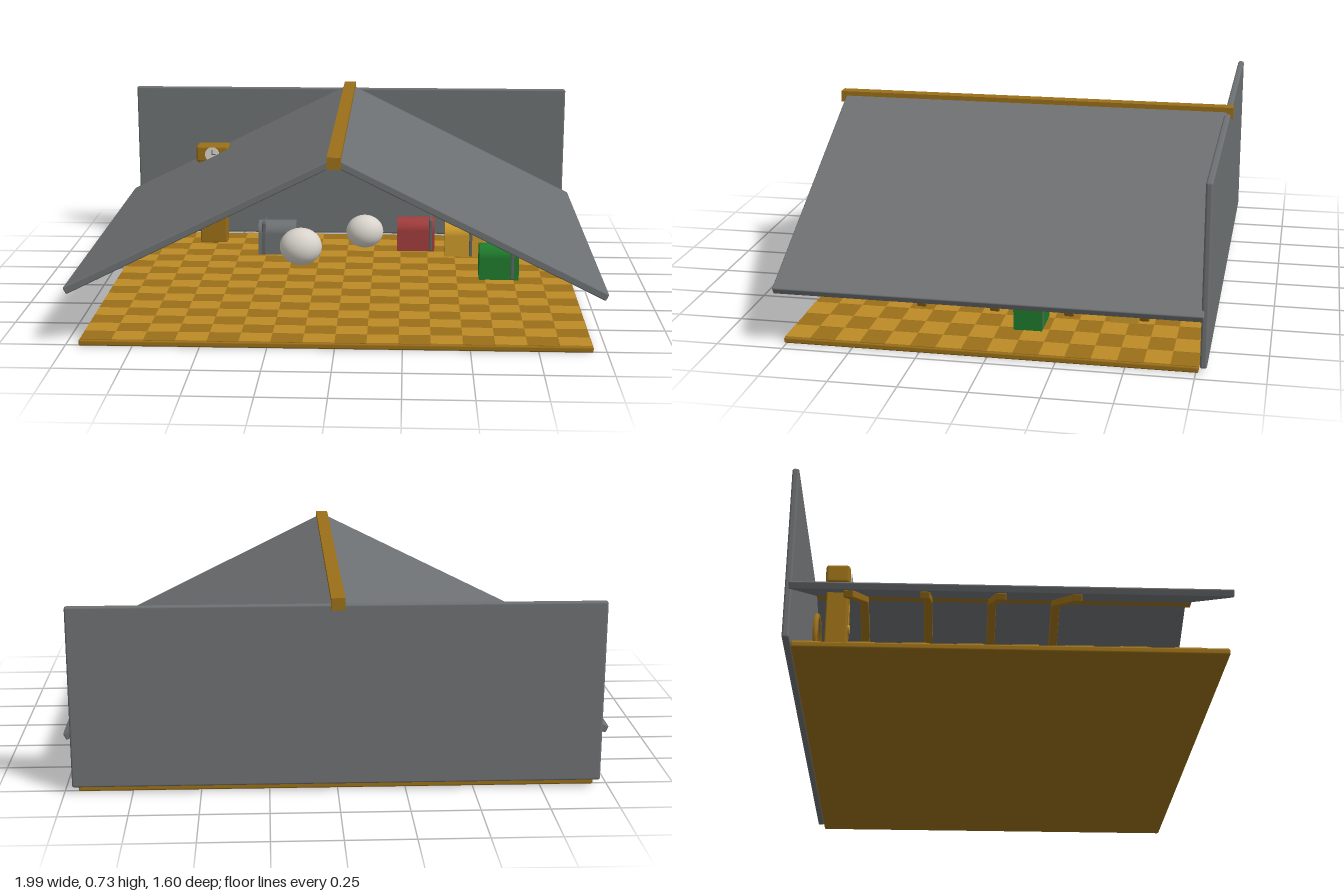
import * as THREE from 'three';
import { RoundedBoxGeometry } from 'three/addons/geometries/RoundedBoxGeometry.js';

const paint = (name, color) => {
  const m = new THREE.MeshStandardMaterial({ color });
  m.name = name;
  return m;
};

export function createModel() {
  const root = new THREE.Group();
  root.name = 'cabin';
  const wood = paint('wood', 0x9a6f18);
  const lightWood = paint('lightWood', 0xbd8b26);
  const slate = paint('slate', 0x6d7072);
  const wool = paint('offWhite', 0xd8d4cc);
  const red = paint('red', 0xa03c3c);
  const yellow = paint('yellow', 0xcb992a);
  const green = paint('green', 0x1f7a2c);
  const iron = paint('iron', 0x5f6264);

  const add = (name, geo, mat, x, y, z, parent = root) => {
    const mesh = new THREE.Mesh(geo, mat);
    mesh.name = name;
    mesh.position.set(x, y, z);
    parent.add(mesh);
    return mesh;
  };
  const box = (w, h, d) => new THREE.BoxGeometry(w, h, d);
  const rounded = (w, h, d, r) => new RoundedBoxGeometry(w, h, d, 2, r);

  // Floor slab with a chequer of two woods
  add('floorBase', rounded(1.9, 0.022, 1.52, 0.006), wood, 0, 0.014, 0);
  const n = 16, tw = 1.89 / n, td = 1.51 / n;
  const floor = new THREE.Group();
  floor.name = 'floorTiles';
  root.add(floor);
  for (let i = 0; i < n; i++) {
    for (let j = 0; j < n; j++) {
      const light = (i + j) % 2 === 0;
      add('floorTile', box(tw, light ? 0.006 : 0.004, td), light ? lightWood : wood,
        (i + 0.5) * tw - 0.945, light ? 0.026 : 0.025, (j + 0.5) * td - 0.755, floor);
    }
  }

  // Back wall
  add('backWall', rounded(1.94, 0.68, 0.025, 0.008), slate, 0, 0.369, -0.778);

  // Pitched roof, rafters and ridge
  const slope = (name, side, x, top, low, thick, depth, z, mat) => {
    const m = add(name, rounded(Math.hypot(x, top - low), thick, depth, 0.005), mat, side * x / 2, (top + low) / 2, z);
    m.rotation.z = side * Math.atan2(low - top, x);
  };
  for (const side of [-1, 1]) {
    slope('roofPanel', side, 0.99, 0.713, 0.22, 0.028, 1.555, 0.002, slate);
    for (const z of [0.23, -0.036, -0.302, -0.568]) {
      slope('rafter', side, 0.97, 0.684, 0.201, 0.028, 0.035, z, wood);
    }
  }
  add('ridgeBeam', box(0.05, 0.045, 1.6), wood, 0, 0.712, 0);

  // Round window on the back wall
  const win = new THREE.Group();
  win.name = 'roundWindow';
  win.position.set(0, 0.482, -0.757);
  root.add(win);
  add('windowFrame', new THREE.TorusGeometry(0.109, 0.012, 10, 40), wood, 0, 0, 0, win);
  add('windowPane', new THREE.CircleGeometry(0.1, 32), slate, 0, 0, -0.006, win);
  add('uprightBar', box(0.01, 0.2, 0.01), iron, 0, 0, 0, win);
  add('crossBar', box(0.2, 0.01, 0.012), wood, 0, 0, 0, win);
  add('crossBarUpper', box(0.15, 0.012, 0.016), wood, 0, 0.018, 0, win);

  // Tall pendulum clock
  const clock = new THREE.Group();
  clock.name = 'tallClock';
  clock.position.set(-0.61, 0, -0.63);
  root.add(clock);
  add('clockCase', rounded(0.12, 0.38, 0.08, 0.006), wood, 0, 0.215, 0, clock);
  add('clockHead', rounded(0.145, 0.075, 0.09, 0.012), wood, 0, 0.437, 0, clock);
  const face = add('clockFace', new THREE.CylinderGeometry(0.032, 0.032, 0.006, 24), wool, 0, 0.437, 0.046, clock);
  face.rotation.x = Math.PI / 2;
  add('minuteHand', box(0.004, 0.022, 0.003), iron, 0, 0.446, 0.05, clock);
  add('hourHand', box(0.016, 0.004, 0.003), iron, 0.007, 0.437, 0.05, clock);
  add('pendulumRod', box(0.005, 0.1, 0.005), lightWood, 0, 0.295, 0.042, clock);
  const bob = add('pendulumBob', new THREE.CylinderGeometry(0.018, 0.018, 0.008, 20), yellow, 0, 0.24, 0.043, clock);
  bob.rotation.x = Math.PI / 2;

  // Soft round seats
  for (const [x, y, z, s] of [[-0.193, 0.105, -0.265, 1], [0.075, 0.099, -0.55, 0.91]]) {
    const seat = add('roundSeat', new THREE.SphereGeometry(1, 32, 20), wool, x, y, z);
    seat.scale.set(0.091 * s, 0.081 * s, 0.077 * s);
  }

  // Arched chests, each with a metal strap
  const arch = new THREE.Shape();
  arch.moveTo(-0.054, 0);
  arch.lineTo(0.054, 0);
  arch.lineTo(0.054, 0.094);
  arch.absellipse(0, 0.094, 0.054, 0.05, 0, Math.PI, false);
  arch.lineTo(-0.054, 0);
  const chestGeo = new THREE.ExtrudeGeometry(arch, { depth: 0.165, bevelEnabled: false, curveSegments: 16 });
  chestGeo.translate(0, 0, -0.0825).rotateY(Math.PI / 2);
  for (const [name, mat, x, z, strap] of [
    ['greyChest', slate, -0.307, -0.453, -0.058], ['redChest', red, 0.303, -0.532, 0.066],
    ['yellowChest', yellow, 0.513, -0.453, 0.03], ['greenChest', green, 0.648, -0.11, 0.055]]) {
    const chest = new THREE.Group();
    chest.name = name;
    chest.position.set(x, 0.028, z);
    root.add(chest);
    add('chestBody', chestGeo, mat, 0, 0, 0, chest);
    add('chestStrap', rounded(0.016, 0.143, 0.111, 0.005), iron, strap, 0.072, 0, chest);
  }
  return root;
}
